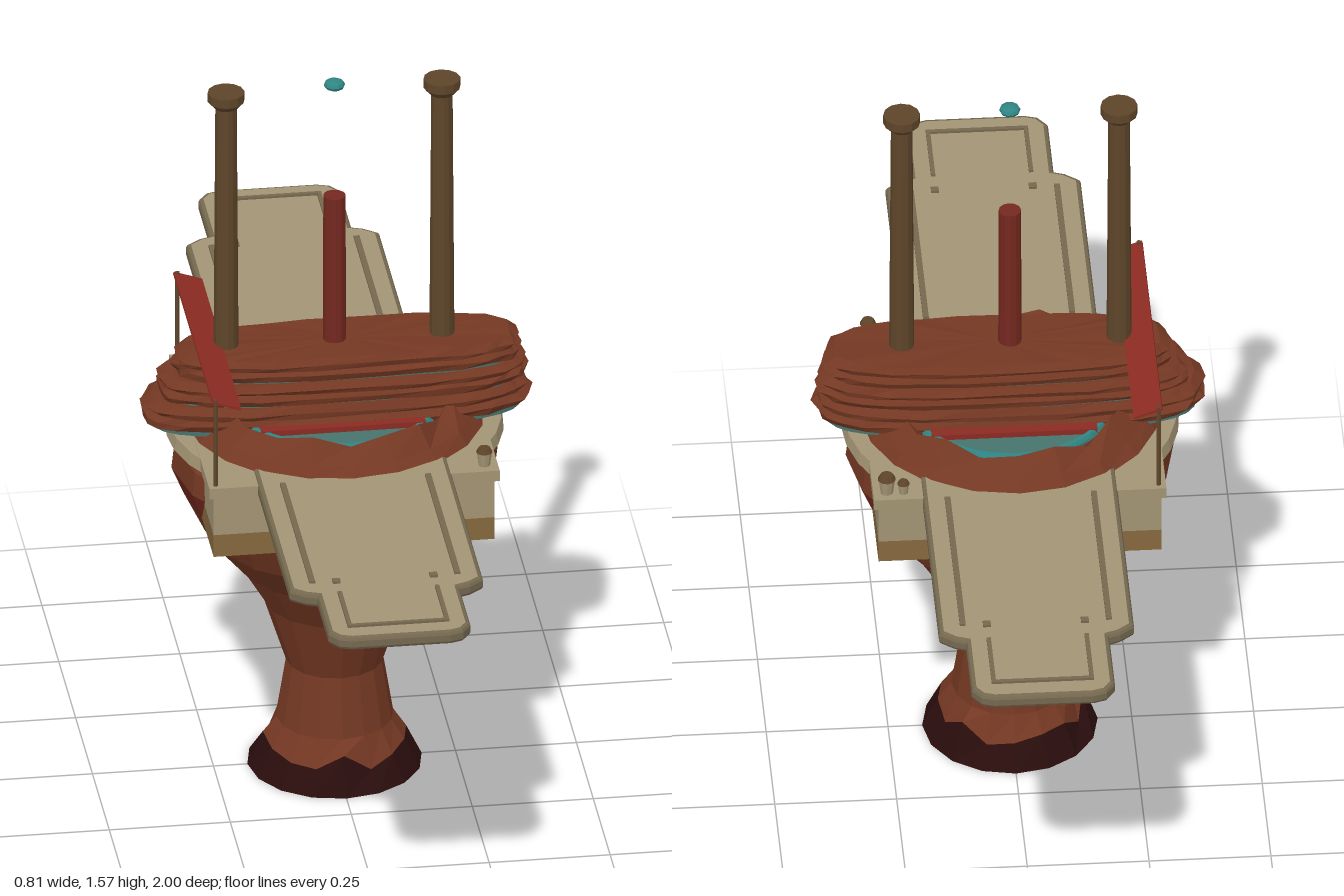
import * as THREE from 'three';

const mat = (name, color, flat = true) => {
  const m = new THREE.MeshStandardMaterial({ color, flatShading: flat });
  m.name = name;
  return m;
};

// Small seeded noise source
function seeded(seed) {
  return () => {
    seed = (seed * 16807) % 2147483647;
    return seed / 2147483647 - 0.5;
  };
}

// Closed skin over rings of points, with optional end caps
function loft(rings, capStart = true, capEnd = true) {
  const pos = [];
  const tri = (a, b, c) => pos.push(...a, ...b, ...c);
  const n = rings[0].length;
  for (let i = 0; i < rings.length - 1; i++) {
    for (let j = 0; j < n; j++) {
      const k = (j + 1) % n, lo = rings[i], hi = rings[i + 1];
      tri(lo[j], hi[j], lo[k]);
      tri(lo[k], hi[j], hi[k]);
    }
  }
  const centre = r => [0, 1, 2].map(d => r.reduce((s, p) => s + p[d], 0) / n);
  const first = rings[0], last = rings[rings.length - 1];
  for (let j = 0; j < n; j++) {
    const k = (j + 1) % n;
    if (capStart) tri(centre(first), first[j], first[k]);
    if (capEnd) tri(centre(last), last[k], last[j]);
  }
  const g = new THREE.BufferGeometry();
  g.setAttribute('position', new THREE.Float32BufferAttribute(pos, 3));
  g.computeVertexNormals();
  return g;
}

// Horizontal ring: superellipse with optional jitter
function ring(y, rx, rz, n, { power = 2, cx = 0, rand = null, jitter = 0, wave = null } = {}) {
  return Array.from({ length: n }, (_, j) => {
    const a = (j / n) * Math.PI * 2, c = Math.cos(a), s = Math.sin(a);
    const k = 1 + (rand ? rand() * jitter : 0);
    const e = 2 / power;
    return [
      cx + Math.sign(c) * Math.abs(c) ** e * rx * k,
      y + (wave ? wave(j) : 0) + (rand ? rand() * jitter * 0.1 : 0),
      Math.sign(s) * Math.abs(s) ** e * rz * k,
    ];
  });
}

export function createModel() {
  const model = new THREE.Group();
  model.name = 'rockPlatform';
  const rock = mat('rock', 0x743823), darkRock = mat('darkRock', 0x2a0d0d);
  const redRock = mat('redRock', 0x74281f), tan = mat('tanDeck', 0xa39474);
  const trim = mat('deckTrim', 0x74684f), band = mat('brownBand', 0x86683f);
  const wood = mat('wood', 0x5e452a), teal = mat('teal', 0x47736d);
  const brightTeal = mat('brightTeal', 0x2f8583), red = mat('redCloth', 0x8c2b23);
  red.side = THREE.DoubleSide;

  const add = (name, geo, m, x = 0, y = 0, z = 0, parent = model) => {
    const mesh = new THREE.Mesh(geo, m);
    mesh.name = name;
    mesh.position.set(x, y, z);
    parent.add(mesh);
    return mesh;
  };
  const box = (name, w, h, d, m, x, y, z) => add(name, new THREE.BoxGeometry(w, h, d), m, x, y, z);
  const cyl = (name, rt, rb, h, n, m, x, y, z) =>
    add(name, new THREE.CylinderGeometry(rt, rb, h, n), m, x, y, z);

  // Waisted rock stem with a dark foot
  const N = 16;
  const wave = j => 0.016 * Math.sin(j * 1.9) + 0.008 * Math.cos(j * 3.1);
  const edge = ring(0.062, 0.148, 0.148, N, { wave });
  const stem = rows => rows.map(([y, r]) => ring(y, r, r, N));
  add('foot', loft([ring(0.004, 0.18, 0.18, N), edge], true, false), darkRock);
  add('stem', loft([edge, ...stem([[0.11, 0.121], [0.24, 0.1], [0.38, 0.145], [0.47, 0.2], [0.55, 0.268], [0.64, 0.312]])], false, false), rock);
  add('stemFlank', loft(stem([[0.64, 0.312], [0.7, 0.337]]), false, false), redRock);
  add('stemShoulder', loft(stem([[0.7, 0.337], [0.75, 0.331], [0.79, 0.3]]), false, true), rock);

  // Rock buttresses under both deck arms
  const section = ([z, w, mid, bot]) => [
    [w, 0.785, z], [w * 0.78, mid, z], [w * 0.15, bot, z],
    [-w * 0.15, bot, z], [-w * 0.78, mid, z], [-w, 0.785, z],
  ];
  const finRows = [[0.1, 0.165, 0.63, 0.44], [0.21, 0.165, 0.63, 0.47], [0.48, 0.155, 0.68, 0.565], [0.7, 0.13, 0.74, 0.695], [0.85, 0.08, 0.782, 0.778]];
  for (const side of [0, 1]) {
    add(side ? 'backButtress' : 'frontButtress', loft(finRows.map(section)), rock).rotation.y = side * Math.PI;
  }

  // Square hub with a brown lower band, top plate and round collar
  box('hub', 0.58, 0.11, 0.58, tan, 0, 0.745, 0);
  box('hubBand', 0.58, 0.05, 0.58, band, 0, 0.665, 0);
  box('hubPlate', 0.6, 0.024, 0.6, tan, 0, 0.79, 0);
  cyl('collar', 0.342, 0.347, 0.026, 32, tan, 0, 0.788, 0);

  // Long stepped deck
  const quarter = [[0.19, 0.765], [0.165, 0.785], [0.137, 0.795], [0.137, 0.962], [0.122, 0.983], [0.1, 0.99]];
  const rev = [...quarter].reverse();
  const outline = [
    ...quarter, ...rev.map(([x, z]) => [-x, z]),
    ...quarter.map(([x, z]) => [-x, -z]), ...rev.map(([x, z]) => [x, -z]),
  ].map(([x, z]) => new THREE.Vector2(x, z));
  const deckGeo = new THREE.ExtrudeGeometry(new THREE.Shape(outline), {
    depth: 0.014, bevelEnabled: true, bevelSize: 0.01, bevelThickness: 0.008, bevelSegments: 2,
  });
  deckGeo.rotateX(Math.PI / 2);
  add('deck', deckGeo, [tan, trim], 0, 0.799, 0);

  // Deck inlays: side strips, end frames and studs
  for (const s of [-1, 1]) {
    for (const x of [-0.15, 0.15]) {
      box('deckStrip', 0.012, 0.006, 0.44, trim, x, 0.809, s * 0.53);
      box('endFrameSide', 0.009, 0.006, 0.155, trim, x * 0.67, 0.809, s * 0.877);
      box('deckStud', 0.016, 0.006, 0.016, trim, x * 0.67, 0.809, s * 0.75);
    }
    box('endFrameBar', 0.21, 0.006, 0.009, trim, 0, 0.809, s * 0.95);
  }

  // Crater rim with a teal pool
  const M = 20, rand = seeded(71);
  add('craterRim', loft([
    ring(0.8, 0.31, 0.31, M),
    ring(0.825, 0.285, 0.285, M, { rand, jitter: 0.04 }),
    ring(0.86, 0.245, 0.245, M, { rand, jitter: 0.05, wave: j => 0.014 * Math.sin(j * 2.3) }),
    ring(0.82, 0.215, 0.215, M),
  ], false, false), rock);
  cyl('pool', 0.222, 0.222, 0.02, 32, teal, 0, 0.82, 0);
  const lip = new THREE.TorusGeometry(0.212, 0.009, 6, 32).rotateX(Math.PI / 2);
  add('poolLip', lip, brightTeal, 0, 0.832, 0);
  for (const s of [-1, 1]) box('poolStep', 0.34, 0.018, 0.03, red, 0, 0.833, s * 0.125);

  // Stack of weathered slabs with teal seams
  const slabs = [[0.826, 0.052, 0.402, 0.12, 0], [0.88, 0.045, 0.382, 0.111, 0.012], [0.928, 0.047, 0.36, 0.1, 0.025]];
  for (const [y, h, rx, rz, cx] of slabs) {
    const o = { power: 3, cx, rand, jitter: 0.045 };
    add('slab', loft([
      ring(y, rx * 0.97, rz * 0.95, 30, o), ring(y + h * 0.3, rx, rz, 30, o),
      ring(y + h * 0.5, rx * 0.965, rz * 0.93, 30, o), ring(y + h * 0.72, rx * 0.985, rz * 0.97, 30, o),
      ring(y + h, rx * 0.93, rz * 0.88, 30, o),
    ]), rock);
    const s = { power: 3, cx };
    add('slabSeam', loft([ring(y - 0.011, rx * 0.95, rz * 0.92, 30, s), ring(y + 0.006, rx * 0.95, rz * 0.92, 30, s)]), teal);
  }

  // Two tall capped posts, the short centre post and the floating gem
  for (const x of [-0.224, 0.222]) {
    cyl('post', 0.022, 0.026, 0.6, 12, wood, x, 1.25, 0);
    cyl('postNeck', 0.037, 0.025, 0.014, 12, wood, x, 1.532, 0);
    cyl('postCap', 0.038, 0.038, 0.02, 12, wood, x, 1.549, 0);
  }
  cyl('centrePost', 0.023, 0.024, 0.35, 12, redRock, 0, 1.13, 0);
  const gem = add('gem', new THREE.SphereGeometry(0.022, 10, 6), brightTeal, 0, 1.56, 0);
  gem.scale.y = 0.55;

  // Red awning on two thin poles
  for (const z of [-0.285, 0.285]) cyl('awningPole', 0.005, 0.005, 0.2, 6, wood, -0.285, 0.9, z);
  box('awning', 0.062, 0.005, 0.58, red, -0.263, 0.986, 0).rotation.z = -0.33;

  // Small jars at the hub corners
  for (const [x, z, k] of [[0.272, -0.272, 1.1], [0.238, -0.276, 0.75], [0.272, 0.27, 1]]) {
    cyl('jar', 0.016 * k, 0.012 * k, 0.03 * k, 10, tan, x, 0.802 + 0.015 * k, z);
    cyl('jarLid', 0.012 * k, 0.017 * k, 0.01 * k, 10, wood, x, 0.802 + 0.035 * k, z);
  }
  return model;
}
